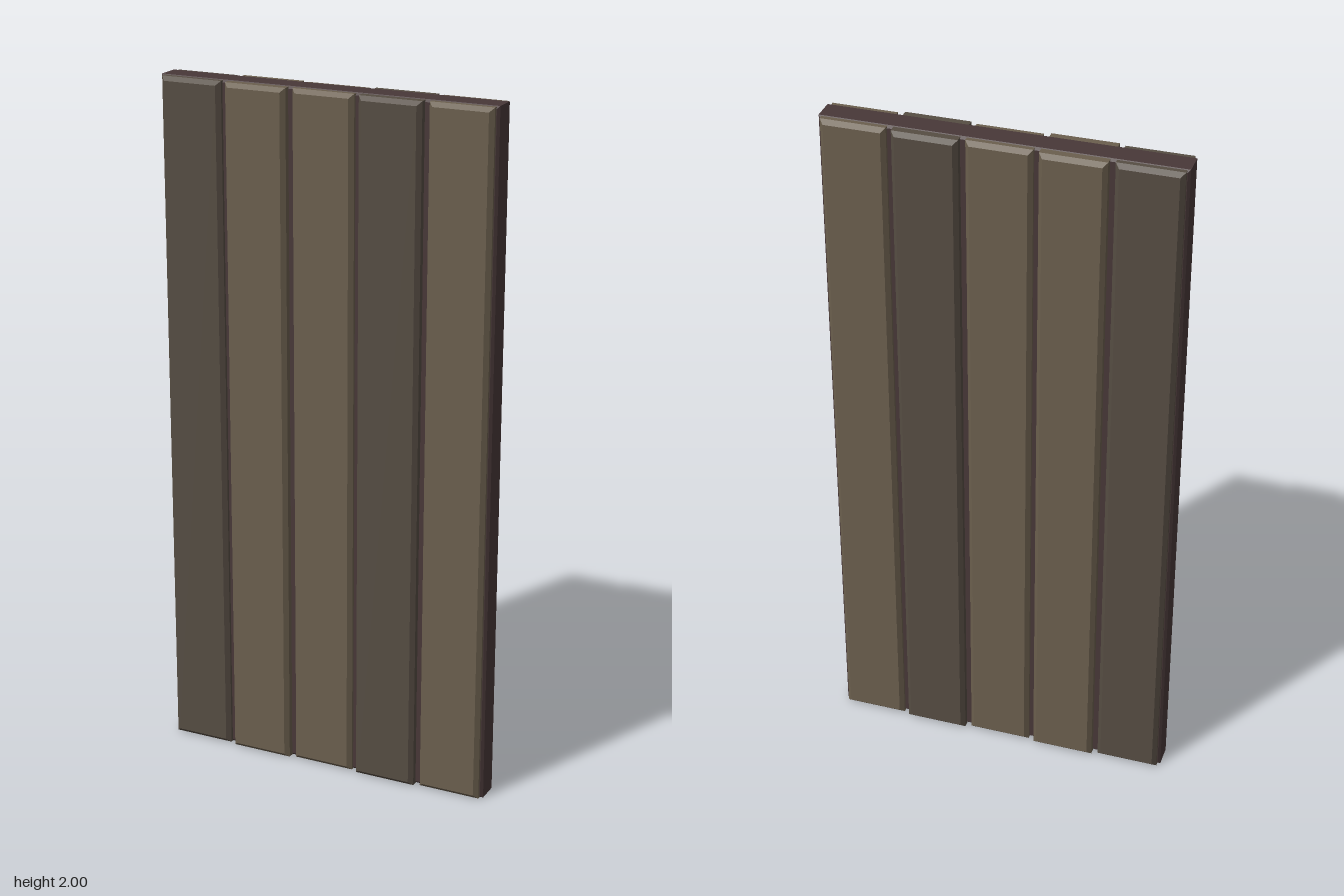
import * as THREE from 'three';

// Box standing on y = y0, with chamfered edges around its front and back faces
function chamferedBox(width, height, depth, chamfer, y0 = 0) {
  const w = width / 2 - chamfer;
  const shape = new THREE.Shape([
    new THREE.Vector2(-w, y0 + chamfer),
    new THREE.Vector2(w, y0 + chamfer),
    new THREE.Vector2(w, y0 + height - chamfer),
    new THREE.Vector2(-w, y0 + height - chamfer),
  ]);
  const straight = depth - 2 * chamfer;
  const geometry = new THREE.ExtrudeGeometry(shape, {
    depth: straight,
    bevelEnabled: true,
    bevelSegments: 1,
    bevelSize: chamfer,
    bevelThickness: chamfer,
  });
  return geometry.translate(0, 0, -straight / 2);
}

export function createModel() {
  const group = new THREE.Group();
  const coreMaterial = new THREE.MeshStandardMaterial({ color: 0x483838 });
  const lightWood = new THREE.MeshStandardMaterial({ color: 0x6b5f4e });
  const darkWood = new THREE.MeshStandardMaterial({ color: 0x564d43 });

  // Core slab, seen in the grooves and along the edges
  const core = new THREE.Mesh(chamferedBox(1, 2, 0.078, 0.007), coreMaterial);
  core.name = 'core';
  group.add(core);

  // Five vertical planks standing proud of the core on both faces
  const planks = [
    { depth: 0.118, material: darkWood },
    { depth: 0.135, material: lightWood },
    { depth: 0.118, material: lightWood },
    { depth: 0.135, material: darkWood },
    { depth: 0.118, material: lightWood },
  ];
  planks.forEach(({ depth, material }, i) => {
    const plank = new THREE.Mesh(chamferedBox(0.183, 1.996, depth, 0.012, 0.002), material);
    plank.name = `plank${i + 1}`;
    plank.position.x = (i - 2) * 0.2;
    group.add(plank);
  });

  return group;
}
